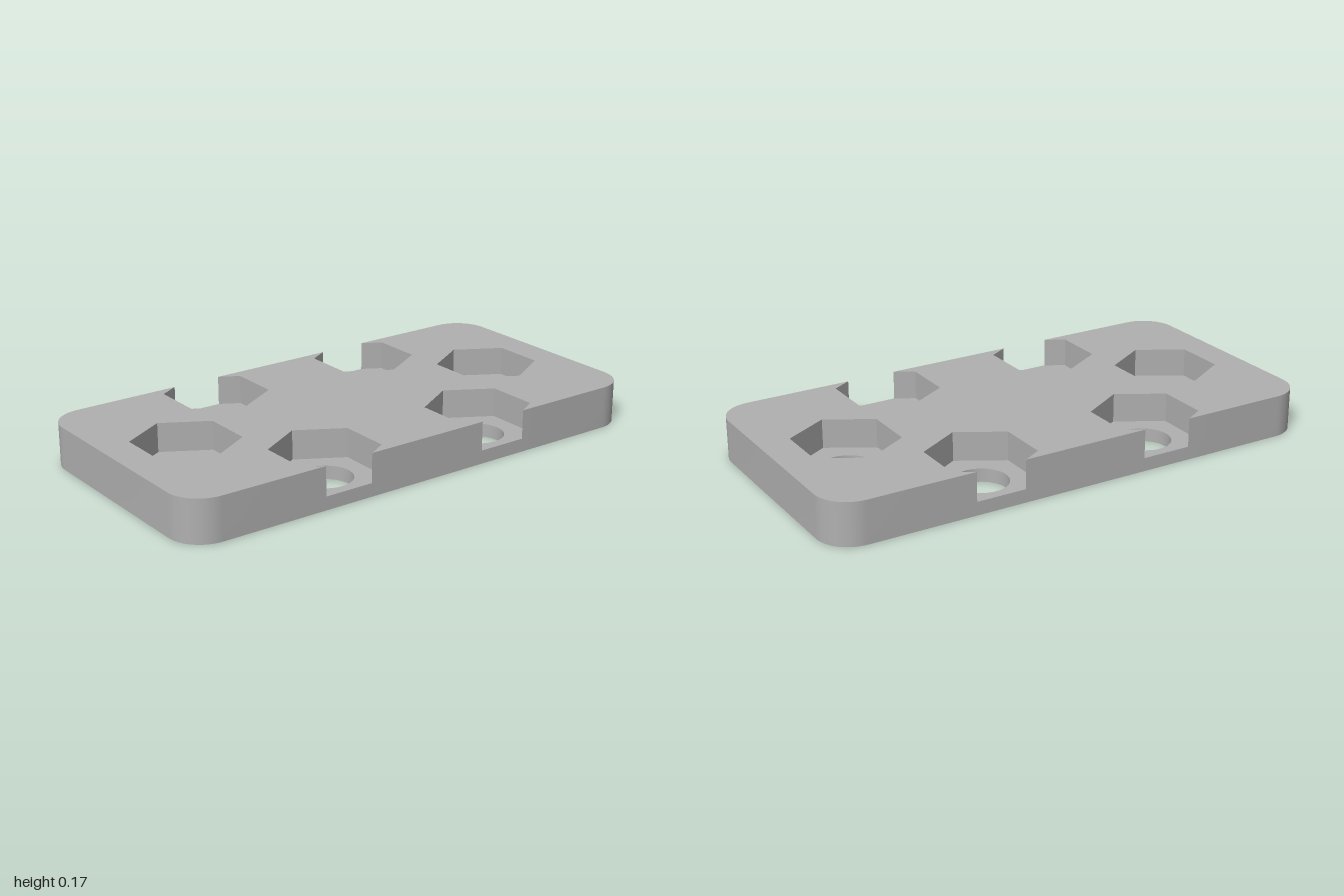
import * as THREE from 'three';
import { mergeGeometries, mergeVertices, toCreasedNormals } from 'three/addons/utils/BufferGeometryUtils.js';

const HALF_X = 1, HALF_Z = 0.495, TOP = 0.165, FLOOR = 0.052;
const CORNER = 0.13, HEX_R = 0.2, HOLE_R = 0.103;
const HEX_A = HEX_R * Math.sqrt(3) / 2;
const END_X = 0.703, SIDE_X = 0.352, SIDE_Z = 0.352;

const V = (x, y) => new THREE.Vector2(x, y);
const half = (pts) => pts.map((p) => V(-p.x, -p.y));

function arc(cx, cy, r, a0, a1, n) {
  return Array.from({ length: n + 1 }, (_, i) => {
    const a = a0 + (a1 - a0) * i / n;
    return V(cx + r * Math.cos(a), cy + r * Math.sin(a));
  });
}

// clockwise loops, so that their walls face inwards
const hole = (cx, cy) => arc(cx, cy, HOLE_R, 2 * Math.PI, 0, 48).slice(0, -1);
const hexagon = (cx, cy) => arc(cx, cy, HEX_R, 2.5 * Math.PI, 0.5 * Math.PI, 6).slice(0, -1);

// nut pocket cut open by the long edge
function notch(cx) {
  const w = (HEX_R - (HALF_Z - SIDE_Z)) * Math.sqrt(3), r = HEX_R / 2;
  return [
    V(cx - w, -HALF_Z), V(cx - HEX_A, -SIDE_Z - r), V(cx - HEX_A, -SIDE_Z + r), V(cx, -SIDE_Z + HEX_R),
    V(cx + HEX_A, -SIDE_Z + r), V(cx + HEX_A, -SIDE_Z - r), V(cx + w, -HALF_Z),
  ];
}

// flat face with holes, facing up or down
function cap(outline, holes, y, up = true) {
  const shape = new THREE.Shape(outline);
  shape.holes = holes.map((h) => new THREE.Path(h));
  const g = new THREE.ShapeGeometry(shape).toNonIndexed();
  g.rotateX(up ? -Math.PI / 2 : Math.PI / 2).translate(0, y, 0);
  return g;
}

// upright wall along a closed loop
function wall(loop, y0, y1) {
  const pos = [];
  loop.forEach((p, i) => {
    const q = loop[(i + 1) % loop.length];
    pos.push(p.x, y0, -p.y, q.x, y0, -q.y, q.x, y1, -q.y);
    pos.push(p.x, y0, -p.y, q.x, y1, -q.y, p.x, y1, -p.y);
  });
  const g = new THREE.BufferGeometry();
  g.setAttribute('position', new THREE.Float32BufferAttribute(pos, 3));
  return g;
}

function solid(parts) {
  parts.forEach((g) => { g.deleteAttribute('uv'); g.deleteAttribute('normal'); });
  return toCreasedNormals(mergeVertices(mergeGeometries(parts), 1e-5), 0.5);
}

export function createModel() {
  const grey = new THREE.MeshStandardMaterial({ color: 0xb0b0b0 });
  grey.name = 'grey';
  const group = new THREE.Group();
  group.name = 'mountingPlate';
  const add = (name, parts) => {
    const mesh = new THREE.Mesh(solid(parts), grey);
    mesh.name = name;
    group.add(mesh);
  };

  // half outlines, turned by 180 degrees for the other half
  const corners = [
    arc(HALF_X - CORNER, -HALF_Z + CORNER, CORNER, -Math.PI / 2, 0, 16),
    arc(HALF_X - CORNER, HALF_Z - CORNER, CORNER, 0, Math.PI / 2, 16),
  ].flat();
  const notches = [notch(-SIDE_X), notch(SIDE_X)];
  const plainHalf = [...notches.flatMap((n) => [n[0], n[6]]), ...corners];
  const cutHalf = [...notches.flat(), ...corners];
  const plain = [...plainHalf, ...half(plainHalf)];
  const cut = [...cutHalf, ...half(cutHalf)];

  const endHexes = [hexagon(-END_X, 0), hexagon(END_X, 0)];
  const endHoles = [hole(-END_X, 0), hole(END_X, 0)];
  const frontHoles = [hole(-SIDE_X, -SIDE_Z), hole(SIDE_X, -SIDE_Z)];
  const backHoles = frontHoles.map(half);
  const holes = [...endHoles, ...frontHoles, ...backHoles];

  // plate body
  add('plate', [
    cap(cut, endHexes, TOP),
    cap(plain, holes, 0, false),
    wall(plain, 0, FLOOR),
    wall(cut, FLOOR, TOP),
  ]);

  // hexagonal pocket walls and floors
  add('nutPockets', [
    ...endHexes.map((h) => wall(h, FLOOR, TOP)),
    ...endHexes.map((h, i) => cap(h, [endHoles[i]], FLOOR)),
    ...notches.map((n, i) => cap(n, [frontHoles[i]], FLOOR)),
    ...notches.map((n, i) => cap(half(n), [backHoles[i]], FLOOR)),
  ]);

  // round bolt holes
  add('boltHoles', holes.map((h) => wall(h, 0, FLOOR)));
  return group;
}
